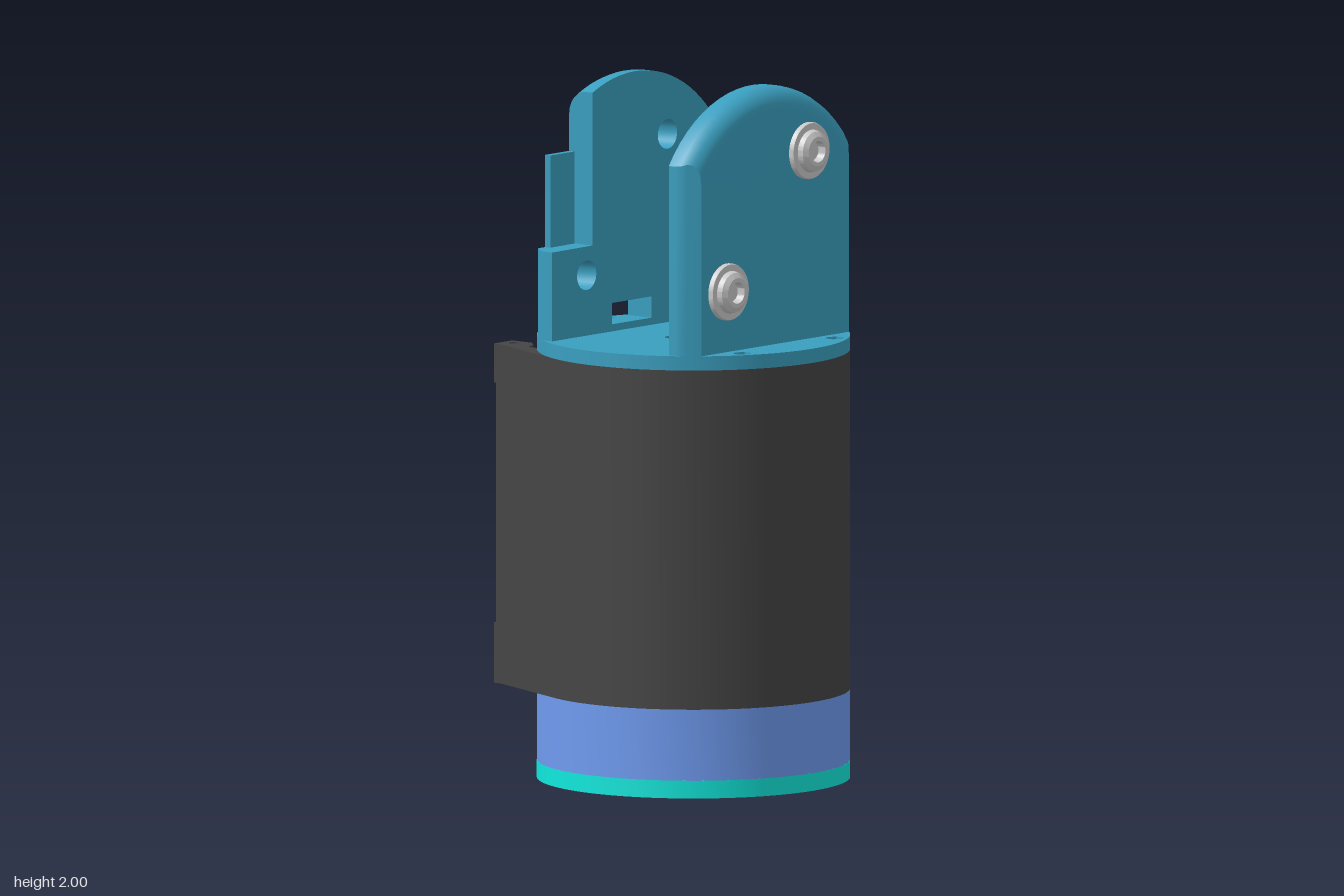
import * as THREE from 'three';
import { toCreasedNormals } from 'three/addons/utils/BufferGeometryUtils.js';

const R = 0.437, ARC_Y = 1.565, BASE_Y = 1.28;
const mat = (color) => new THREE.MeshStandardMaterial({ color, side: THREE.DoubleSide });
const teal = mat(0x3a9fc0), dark = mat(0x454545), blue = mat(0x6f9bf0);
const cyan = mat(0x11e8dc), grey = mat(0xcccccc);

function add(parent, name, geometry, material, x = 0, y = 0, z = 0) {
  const mesh = new THREE.Mesh(geometry, material);
  mesh.name = name;
  mesh.position.set(x, y, z);
  parent.add(mesh);
  return mesh;
}

const circle = (x, y, r, n = 20) => new THREE.Path(
  Array.from({ length: n }, (_, i) => {
    const a = (i / n) * Math.PI * 2;
    return new THREE.Vector2(x + r * Math.cos(a), y + r * Math.sin(a));
  }));

const polygon = (pts) => pts.map(([x, y]) => new THREE.Vector2(x, y));

// Plan-view shape raised from y0 to y1
function raise(shape, y0, y1) {
  const g = new THREE.ExtrudeGeometry(shape, { depth: y1 - y0, bevelEnabled: false, curveSegments: 64 });
  g.rotateX(-Math.PI / 2).translate(0, y0, 0);
  return toCreasedNormals(g, 0.5);
}

function disc(r, holes = []) {
  const s = new THREE.Shape();
  s.absarc(0, 0, r, 0, Math.PI * 2);
  s.holes.push(...holes);
  return s;
}

const lathe = (pts) => toCreasedNormals(new THREE.LatheGeometry(polygon(pts), 64), 0.5);

// Joins [z, y] outlines placed at successive x, capping the ends with optional holes
function loft(sections, holes = []) {
  const pos = [];
  const quad = (a, b, c, d) => pos.push(...a, ...b, ...c, ...a, ...c, ...d);
  const strip = (s0, s1) => s0.pts.forEach((p, i) => {
    const j = (i + 1) % s0.pts.length;
    const at = (s, k) => [s.x, s.pts[k][1], s.pts[k][0]];
    quad(at(s0, i), at(s0, j), at(s1, j), at(s1, i));
  });
  const first = sections[0], last = sections[sections.length - 1];
  for (let i = 1; i < sections.length; i++) strip(sections[i - 1], sections[i]);
  for (const h of holes) strip({ x: first.x, pts: h }, { x: last.x, pts: h });
  for (const s of [first, last]) {
    const outline = polygon(s.pts), inner = holes.map(polygon);
    const all = [outline, ...inner].flat();
    for (const f of THREE.ShapeUtils.triangulateShape(outline, inner))
      for (const k of f) pos.push(s.x, all[k].y, all[k].x);
  }
  const g = new THREE.BufferGeometry();
  g.setAttribute('position', new THREE.Float32BufferAttribute(pos, 3));
  return toCreasedNormals(g, 0.5);
}

// Outline of a side plate at distance x from the axis
function plateOutline(x, inset, upperFront) {
  const r = R - inset, limit = Math.sqrt(R * R - x * x);
  const low = Math.min(0.36, limit), up = Math.min(upperFront, low);
  const pts = [[low, BASE_Y], [low, 1.53], [up, 1.531]];
  const a0 = Math.acos(up / r), n = 28;
  for (let i = 0; i <= n; i++) {
    const a = a0 + (Math.PI - a0) * (i / n);
    pts.push([Math.max(r * Math.cos(a), -limit), ARC_Y + r * Math.sin(a)]);
  }
  pts.push([-limit, BASE_Y]);
  return pts;
}

// Side plate with a rounded outer edge
function sidePlate(side, upperFront, holes) {
  const sections = [{ x: side * 0.2125, pts: plateOutline(0.2125, 0, upperFront) }];
  for (let i = 0; i <= 6; i++) {
    const a = (i / 6) * Math.PI / 2, x = 0.2375 + 0.06 * Math.sin(a);
    sections.push({ x: side * x, pts: plateOutline(x, 0.06 * (1 - Math.cos(a)), upperFront) });
  }
  return loft(sections, holes);
}

function buildBracket(parent) {
  const bracket = new THREE.Group();
  bracket.name = 'bracket';
  parent.add(bracket);

  // Base disc with cable slot, centre keyhole and screw holes
  const screws = [[-0.347, 0.2], [-0.347, -0.2], [0.347, 0.2], [0.347, -0.2]];
  const slot = new THREE.Path(polygon([[-0.41, 0.1], [-0.375, 0.14], [-0.325, 0.14], [-0.3, 0.1],
    [-0.3, -0.1], [-0.325, -0.14], [-0.375, -0.14], [-0.41, -0.1]]));
  const key = new THREE.Path();
  const ka = Math.acos(0.035 / 0.055);
  key.absarc(0, 0, 0.055, -ka, ka);
  key.lineTo(0.035, 0.085);
  key.absarc(0, 0.07, 0.035, 0.4, Math.PI - 0.4);
  key.absarc(0, 0, 0.055, Math.PI - ka, Math.PI + ka);
  key.absarc(0, -0.07, 0.035, Math.PI + 0.4, 2 * Math.PI - 0.4);
  add(bracket, 'bracketBase', raise(disc(R, [slot, key, ...screws.map(([x, z]) => circle(x, z, 0.028, 6))]), 1.24, BASE_Y), teal);
  for (const [x, z] of screws)
    add(bracket, 'baseScrew', new THREE.CylinderGeometry(0.028, 0.028, 0.04, 6), dark, x, 1.235, z);

  // Side plates
  const ring = (z, y, r) => circle(z, y, r).getPoints().slice(0, 20).map((p) => [p.x, p.y]);
  const cableSlot = [[-0.07, 1.3], [0.1, 1.3], [0.1, 1.36], [-0.07, 1.36]];
  add(bracket, 'leftPlate', sidePlate(1, 0.36, []), teal);
  add(bracket, 'rightPlate', sidePlate(-1, 0.185, [ring(-0.14, 1.81, 0.042), ring(0.21, 1.45, 0.042), cableSlot]), teal);
  add(bracket, 'rightPlateFlange', new THREE.BoxGeometry(0.02, 0.51, 0.11), teal, -0.287, 1.535, 0.235);

  // Back wall, following both the round base and the arched plates
  const wall = [];
  for (let i = 0; i <= 16; i++) {
    const x = -0.2125 + 0.425 * (i / 16), limit = Math.sqrt(R * R - x * x);
    const pts = [[-0.365, BASE_Y], [-0.365, 1.805]];
    for (let k = 1; k <= 10; k++) {
      const y = 1.805 - 0.24 * (k / 10);
      pts.push([-Math.min(Math.sqrt(R * R - (y - ARC_Y) ** 2), limit), y]);
    }
    pts.push([-limit, BASE_Y]);
    wall.push({ x, pts });
  }
  add(bracket, 'backWall', loft(wall), teal);

  // Button-head screws through the left plate
  for (const [y, z] of [[1.81, -0.14], [1.45, 0.21]]) {
    const head = lathe([[0, 0.018], [0.026, 0.018], [0.03, 0.04], [0.042, 0.04], [0.056, 0.03],
      [0.06, 0.015], [0.078, 0.015], [0.08, 0.01], [0.08, 0]]);
    add(bracket, 'screwHead', head, grey, 0.2975, y, z).rotation.z = -Math.PI / 2;
    add(bracket, 'screwShaft', new THREE.CylinderGeometry(0.035, 0.035, 0.1, 24), grey, 0.205, y, z).rotation.z = Math.PI / 2;
  }
}

function buildHousing(parent) {
  const housing = new THREE.Group();
  housing.name = 'housing';
  parent.add(housing);

  // Round shell whose two tangent wings leave an opening on one side
  const t = Math.atan2(0.4, -0.177), q = Math.atan2(0.27, -0.295);
  const s = new THREE.Shape();
  s.moveTo(-0.492, -0.305);
  s.absarc(0, 0, R, -t, t);
  s.lineTo(-0.492, 0.305);
  s.lineTo(-0.492, 0.27);
  s.absarc(0, 0, 0.4, q, -q, true);
  s.lineTo(-0.492, -0.27);
  add(housing, 'shell', raise(s, 0.285, 1.24), dark);
  add(housing, 'floor', raise(disc(0.405, [circle(0, 0, 0.055)]), 0.285, 0.45), dark);
  add(housing, 'innerPanel', new THREE.BoxGeometry(0.04, 0.62, 0.54), dark, -0.31, 0.89, 0);

  // Mounting tabs at the wing tips
  for (const side of [-1, 1]) for (const [y, h] of [[0.37, 0.17], [1.185, 0.11]]) {
    const tab = new THREE.Shape(polygon([[-0.492, 0.2], [-0.42, 0.2], [-0.39, 0.23], [-0.37, 0.28], [-0.492, 0.28]]
      .map(([x, z]) => [x, z * side])));
    tab.holes.push(circle(-0.455, 0.235 * side, 0.015, 12));
    add(housing, 'mountingTab', raise(tab, y - h / 2, y + h / 2), dark);
  }
}

function buildBase(parent) {
  const base = new THREE.Group();
  base.name = 'rotaryBase';
  parent.add(base);
  add(base, 'lowerRing', lathe([[0.055, 0.085], [R, 0.085], [R, 0.285], [0.055, 0.285], [0.055, 0.085]]), blue);

  // End cap with a cable notch and a ring of screw holes
  const cap = new THREE.Shape();
  cap.absarc(0, 0, R, -Math.PI + 0.09, Math.PI - 0.09);
  cap.lineTo(-0.36, 0.04);
  cap.lineTo(-0.36, -0.04);
  cap.holes.push(circle(0, 0, 0.055));
  for (let i = -3; i <= 3; i++)
    cap.holes.push(circle(0.385 * Math.cos(i * Math.PI / 4), 0.385 * Math.sin(i * Math.PI / 4), 0.03, 16));
  add(base, 'endCap', raise(cap, 0.035, 0.085), cyan);

  // Output flange with bolt holes and centre boss
  const holes = [circle(0, 0, 0.055)];
  for (let i = 0; i < 12; i++) {
    const a = (i * Math.PI) / 6;
    holes.push(circle(0.155 * Math.cos(a), 0.155 * Math.sin(a), 0.015, 12));
  }
  add(base, 'outputFlange', raise(disc(0.243, holes), 0.02, 0.036), grey);
  add(base, 'centreBoss', lathe([[0.055, 0], [0.08, 0], [0.083, 0.004], [0.083, 0.021], [0.055, 0.021], [0.055, 0]]), grey);
  add(base, 'hollowShaft', lathe([[0.055, 0.02], [0.07, 0.02], [0.07, 1.1], [0.12, 1.1], [0.12, 1.22], [0.055, 1.22], [0.055, 0.02]]), grey);
}

export function createModel() {
  const model = new THREE.Group();
  model.name = 'actuatorJoint';
  const body = new THREE.Group();
  body.name = 'body';
  body.position.x = 0.027;
  model.add(body);
  buildBase(body);
  buildHousing(body);
  buildBracket(body);
  return model;
}
